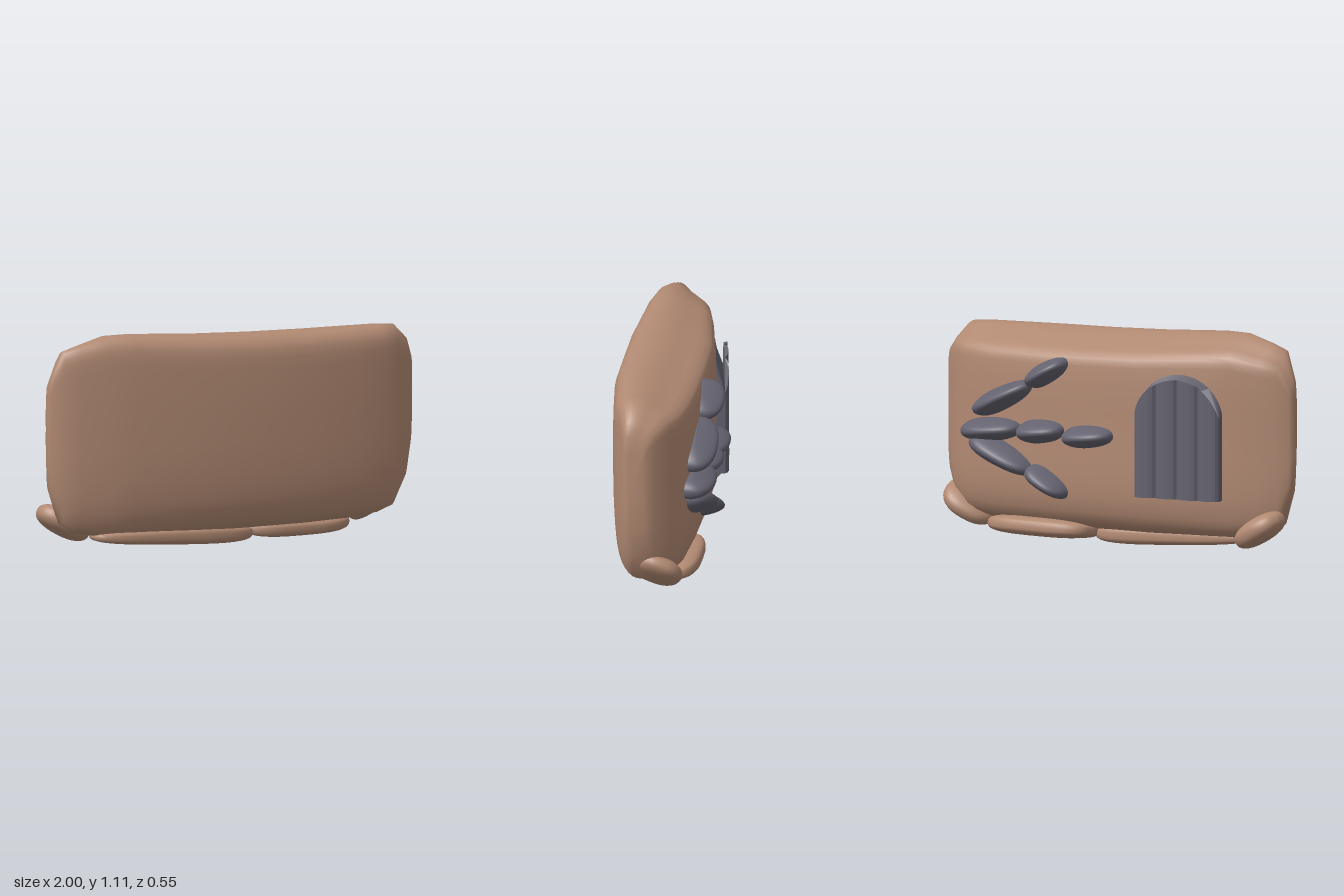
import * as THREE from 'three';

const brown = new THREE.MeshStandardMaterial({ color: 0xb28a73 });
const slate = new THREE.MeshStandardMaterial({ color: 0x64626f });

function add(parent, name, geometry, material) {
  const mesh = new THREE.Mesh(geometry, material);
  mesh.name = name;
  parent.add(mesh);
  return mesh;
}

// Rounded slab: one cross-section scaled to a row of stations along x
function slabGeometry() {
  // section as (depth, height), both 0..1, from the front bottom upwards
  const section = new THREE.CatmullRomCurve3([
    [.79, .03], [.92, .13], [.98, .3], [1, .55], [1, .78], [.975, .935], [.85, .995], [.6, 1],
    [.3, .955], [.06, .905], [.01, .85], [0, .5], [.01, .2], [.1, .07], [.3, .015], [.55, 0],
  ].map(([z, y]) => new THREE.Vector3(0, y, z)), true, 'centripetal').getPoints(48).slice(0, 48);
  // x, bottom, top, back, front
  const stations = [
    [-1, .48, .84, .065, .095], [-.985, .33, .92, .04, .115], [-.93, .17, 1.05, .01, .15],
    [-.85, .12, 1.075, -.03, .18], [-.7, .09, 1.115, -.085, .21], [-.56, .085, 1.115, -.115, .235],
    [-.2, .08, 1.09, -.168, .268], [.1, .08, 1.077, -.17, .272], [.4, .08, 1.07, -.165, .272],
    [.65, .085, 1.065, -.15, .245], [.81, .1, 1.062, -.125, .222], [.9, .13, 1.055, -.075, .19],
    [.97, .27, .985, -.01, .16], [.992, .42, .91, .03, .15], [1, .55, .82, .055, .135],
  ];
  const n = section.length, positions = [], index = [];
  for (const [x, y0, y1, z0, z1] of stations)
    for (const p of section) positions.push(x, y0 + (y1 - y0) * p.y, z0 + (z1 - z0) * p.z);
  for (let i = 0; i < stations.length - 1; i++)
    for (let j = 0; j < n; j++) {
      const k = (j + 1) % n, a = i * n, b = a + n;
      index.push(a + j, b + j, a + k, b + j, b + k, a + k);
    }
  // end caps
  const last = (stations.length - 1) * n;
  for (let j = 1; j < n - 1; j++) index.push(0, j, j + 1, last, last + j + 1, last + j);
  const g = new THREE.BufferGeometry();
  g.setAttribute('position', new THREE.Float32BufferAttribute(positions, 3));
  g.setIndex(index);
  g.computeVertexNormals();
  return g;
}

// Pebble: a sphere pushed towards a box, so it gets flatter faces;
// taper makes the +x end thicker than the -x end
function pebbleGeometry(power, taper) {
  const g = new THREE.SphereGeometry(1, 32, 20), p = g.attributes.position;
  const swell = (v) => Math.sign(v) * Math.pow(Math.abs(v), power);
  for (let i = 0; i < p.count; i++) {
    const x = swell(p.getX(i));
    p.setXYZ(i, x, swell(p.getY(i)) * (1 + taper * x), swell(p.getZ(i)));
  }
  g.computeVertexNormals();
  return g;
}

function addStones(root) {
  const round = pebbleGeometry(.85, 0), flat = pebbleGeometry(.65, 0), wedge = pebbleGeometry(.65, .2);
  // geometry, centre, half sizes, rotation
  [
    ['leftCornerStone', round, [.84, .163, .005], [.15, .06, .135], [-.42, .12, .6]],
    ['rightCornerStone', round, [-.86, .158, -.03], [.145, .065, .115], [-.15, -.12, -.55]],
    ['leftBaseStone', flat, [.405, .073, -.02], [.295, .05, .16], [.12, 0, 0]],
    ['rightBaseStone', wedge, [-.31, .074, .075], [.45, .046, .1], [0, .03, -.05]],
  ].forEach(([name, g, c, s, r]) => {
    const m = add(root, name, g, brown);
    m.position.set(...c);
    m.scale.set(...s);
    m.rotation.set(...r);
  });
}

// Toe segments: tapered pods laid between two points on the back face
function addClaw(root) {
  const claw = new THREE.Group();
  claw.name = 'claw';
  root.add(claw);
  const pod = pebbleGeometry(.85, .12), p = pod.attributes.position;
  // pinched to a soft ridge on the outer side
  for (let i = 0; i < p.count; i++) p.setY(i, p.getY(i) * (1 - .45 * Math.max(0, -p.getZ(i))));
  pod.computeVertexNormals();
  // x and y of the inner end, x and y of the tip, half width
  const toes = {
    upperToe: [[.72, .655, .39, .815, .058], [.41, .82, .185, .945, .055]],
    middleToe: [[.79, .55, .455, .585, .06], [.465, .565, .2, .595, .06], [.2, .56, -.085, .59, .058]],
    lowerToe: [[.74, .515, .39, .37, .066], [.41, .385, .185, .265, .058]],
  };
  for (const [name, segments] of Object.entries(toes)) {
    const toe = new THREE.Group();
    toe.name = name;
    claw.add(toe);
    segments.forEach(([x0, y0, x1, y1, w], i) => {
      const m = add(toe, `toeSegment${i + 1}`, pod, slate);
      m.position.set((x0 + x1) / 2, (y0 + y1) / 2, -.165);
      m.scale.set(Math.hypot(x0 - x1, y0 - y1) / 2, w, .108);
      m.rotation.z = Math.atan2(y0 - y1, x0 - x1);
    });
  }
}

// Arched door: a scalloped plan of four planks raised to the arch
function addDoor(root) {
  const half = .228, planks = 4, steps = 32, bottom = .3;
  const arch = (x) => .69 + .235 * Math.sqrt(Math.max(0, 1 - (x / (half + .006)) ** 2));
  const outline = [];
  for (let i = 0; i <= steps; i++) {
    const ridge = Math.sqrt(Math.abs(Math.sin(Math.PI * planks * i / steps)));
    outline.push(new THREE.Vector2(half * (1 - 2 * i / steps), .012 + .02 * ridge));
  }
  for (let i = steps; i >= 0; i--) outline.push(new THREE.Vector2(half * (1 - 2 * i / steps), -.032));
  const g = new THREE.ExtrudeGeometry(new THREE.Shape(outline), { depth: 1, bevelEnabled: false });
  g.rotateX(-Math.PI / 2);
  const p = g.attributes.position;
  for (let i = 0; i < p.count; i++) {
    // the outer edge of the arch is chamfered
    const chamfer = p.getZ(i) < 0 ? .02 : 0;
    p.setY(i, p.getY(i) > .5 ? arch(p.getX(i)) - chamfer : bottom);
  }
  g.computeVertexNormals();
  const door = add(root, 'plankDoor', g, slate);
  door.position.set(-.457, 0, -.163);
  door.rotation.y = .155;
}

export function createModel() {
  const root = new THREE.Group();
  root.name = 'stoneSlab';
  add(root, 'slab', slabGeometry(), brown);
  addStones(root);
  addClaw(root);
  addDoor(root);
  return root;
}
